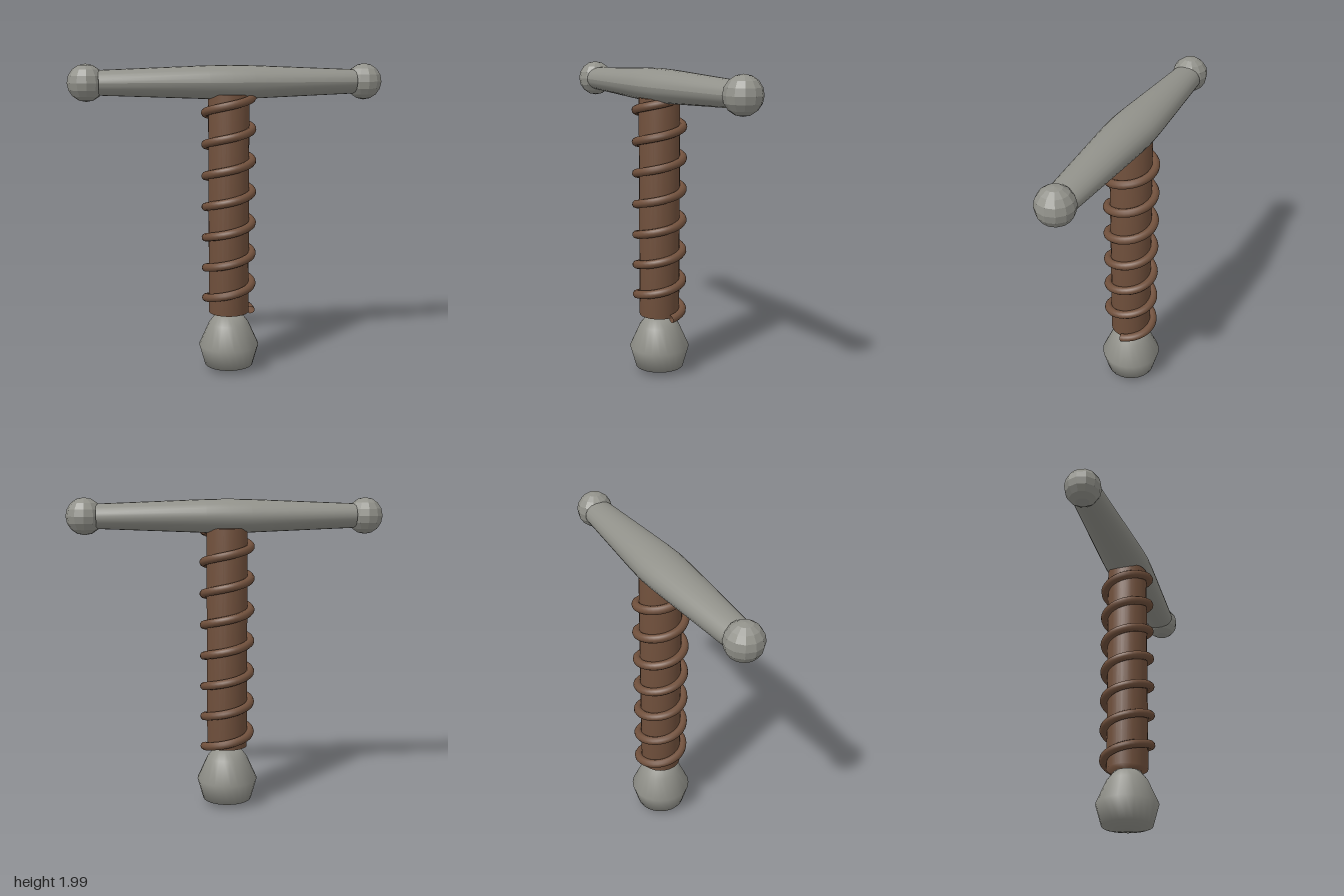
import * as THREE from 'three';
import { mergeVertices } from 'three/addons/utils/BufferGeometryUtils.js';

// Weld all edges so the shading rolls smoothly over the rims
function soften(geometry) {
  geometry.deleteAttribute('normal');
  geometry.deleteAttribute('uv');
  const welded = mergeVertices(geometry, 1e-4);
  welded.computeVertexNormals();
  return welded;
}

// Coil that climbs anticlockwise around the grip
class Coil extends THREE.Curve {
  getPoint(t, target = new THREE.Vector3()) {
    const a = t * 7 * Math.PI * 2;
    return target.set(0.148 * Math.cos(a), 0.4 + 1.4 * t, -0.148 * Math.sin(a));
  }
}

const profile = (points) => points.map(([r, y]) => new THREE.Vector2(r, y));

export function createModel() {
  const metal = new THREE.MeshStandardMaterial({ color: 0x91918a });
  metal.name = 'grey metal';
  const leather = new THREE.MeshStandardMaterial({ color: 0x70503c, side: THREE.DoubleSide });
  leather.name = 'brown leather';

  const model = new THREE.Group();
  model.name = 'swordHilt';
  const add = (name, geometry, material, x = 0, y = 0, z = 0) => {
    const mesh = new THREE.Mesh(geometry, material);
    mesh.name = name;
    mesh.position.set(x, y, z);
    model.add(mesh);
    return mesh;
  };

  // Egg-shaped pommel
  add('pommel', new THREE.LatheGeometry(profile([
    [0, 0.01], [0.157, 0.045], [0.195, 0.18], [0.13, 0.325], [0.085, 0.383], [0, 0.395],
  ]), 24), metal);

  // Grip with its spiral wrap
  add('grip', soften(new THREE.CylinderGeometry(0.13, 0.13, 1.41, 24)), leather, 0, 1.105, 0);
  add('gripWrap', new THREE.TubeGeometry(new Coil(), 260, 0.027, 10), leather);

  // Crossguard: oval bar tapering from the middle to both ends
  const guard = new THREE.LatheGeometry(profile([
    [0, -0.81], [0.1, -0.81], [0.144, -0.14], [0.15, 0], [0.144, 0.14], [0.1, 0.81], [0, 0.81],
  ]), 24);
  guard.rotateZ(Math.PI / 2);
  // Height shrinks less than depth towards the ends
  const p = guard.attributes.position;
  for (let i = 0; i < p.count; i++) {
    p.setY(i, p.getY(i) * (0.71 + 0.06 * Math.abs(p.getX(i)) / 0.81));
  }
  guard.computeVertexNormals();
  add('crossguard', guard, metal, 0, 1.885, 0);

  // Faceted ball at each end of the guard
  for (const side of [-1, 1]) {
    const ball = new THREE.SphereGeometry(0.115, 12, 8).toNonIndexed();
    ball.computeVertexNormals();
    add(side > 0 ? 'leftGuardBall' : 'rightGuardBall', ball, metal, side * 0.882, 1.885, 0);
  }
  return model;
}
